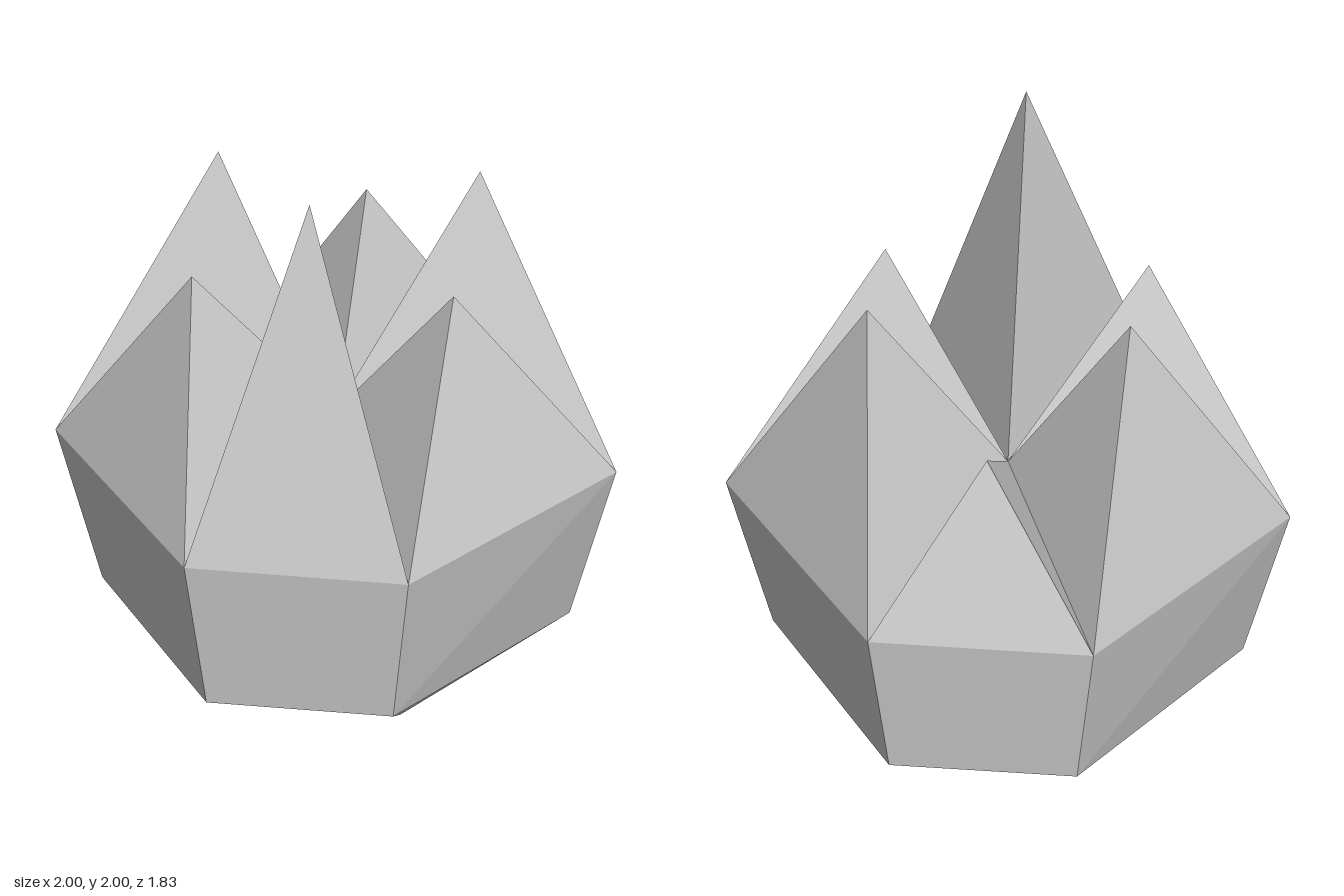
import * as THREE from 'three';

// Six-sided ring, counter-clockwise seen from above, starting at +x
function ring(side, frontX, frontZ, y) {
  return [[side, 0], [frontX, -frontZ], [-frontX, -frontZ], [-side, 0], [-frontX, frontZ], [frontX, frontZ]]
    .map(([x, z]) => new THREE.Vector3(x, y, z));
}

// Mesh from a list of corner triples
function facetMesh(name, corners) {
  const geometry = new THREE.BufferGeometry().setFromPoints(corners);
  geometry.computeVertexNormals();
  const mesh = new THREE.Mesh(geometry, new THREE.MeshStandardMaterial({ color: 0xcccccc, flatShading: true }));
  mesh.name = name;
  return mesh;
}

// Corners of the sloping band between two rings
function band(low, high) {
  return low.flatMap((a, i) => {
    const j = (i + 1) % 6;
    return [a, low[j], high[j], a, high[j], high[i]];
  });
}

export function createModel() {
  const group = new THREE.Group();
  group.name = 'crystalCluster';

  const foot = ring(0.667, 0.333, 0.667, 0);
  const bevel = ring(0.833, 0.333, 0.835, 0.085);
  const rim = ring(1, 0.4, 0.915, 0.667);

  // Flat underside, bevel and flared body
  const under = new THREE.Vector3(0, 0, 0);
  group.add(facetMesh('underside', foot.flatMap((a, i) => [under, foot[(i + 1) % 6], a])));
  group.add(facetMesh('bevel', band(foot, bevel)));
  group.add(facetMesh('body', band(bevel, rim)));

  // One three-sided spike over each rim edge, meeting at a central hollow
  const hollow = new THREE.Vector3(0, 0.833, 0);
  const spikes = [
    ['backLeftSpike', 0.467, 1.667, -0.305],
    ['backSpike', 0, 1.333, -0.705],
    ['backRightSpike', -0.467, 1.667, -0.305],
    ['frontRightSpike', -0.467, 1.5, 0.305],
    ['frontSpike', 0, 2, 0.61],
    ['frontLeftSpike', 0.467, 1.5, 0.305],
  ];
  spikes.forEach(([name, x, y, z], i) => {
    const tip = new THREE.Vector3(x, y, z);
    const a = rim[i], b = rim[(i + 1) % 6];
    group.add(facetMesh(name, [a, b, tip, b, hollow, tip, hollow, a, tip]));
  });

  return group;
}
